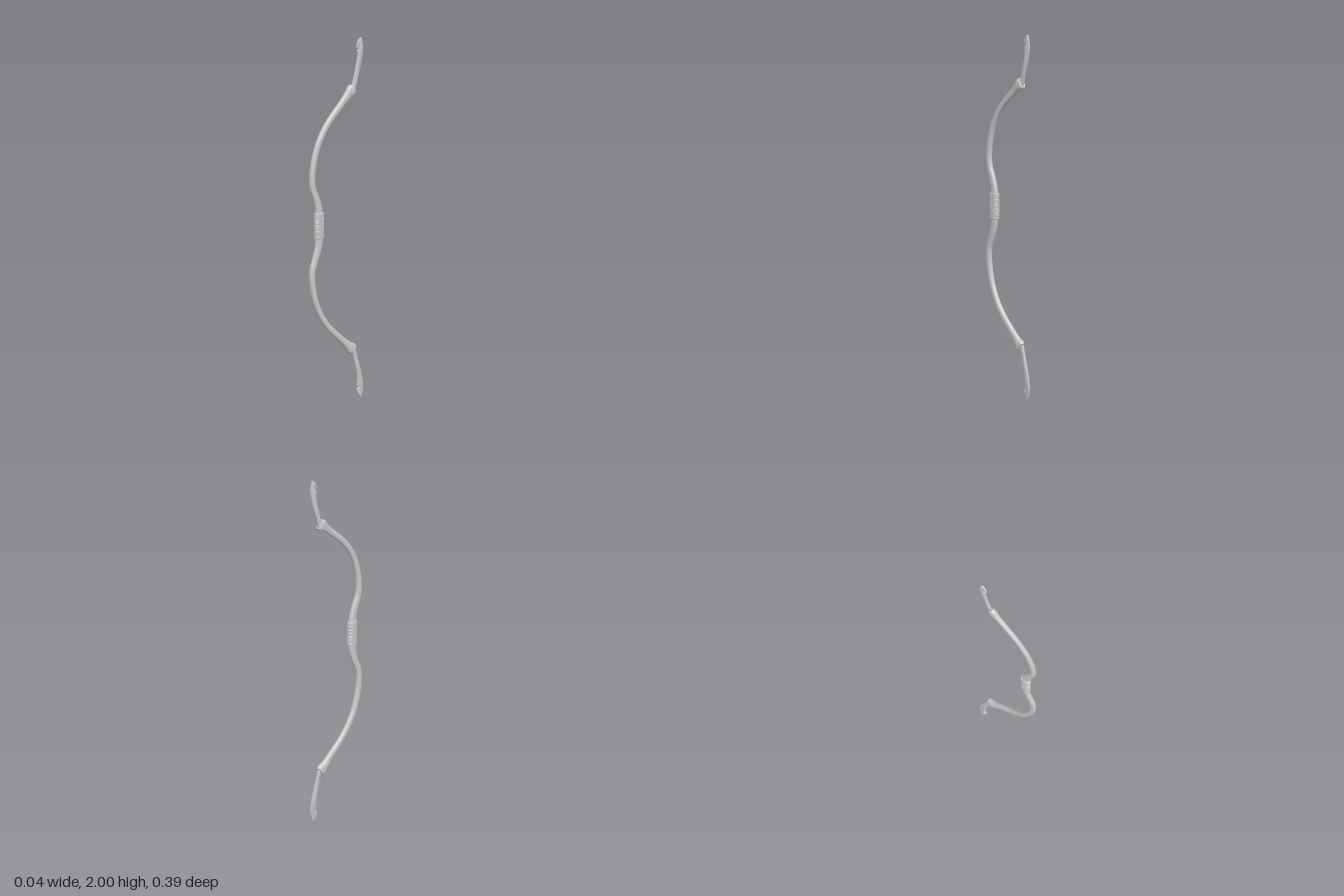
import * as THREE from 'three';
import { toCreasedNormals } from 'three/addons/utils/BufferGeometryUtils.js';

const material = new THREE.MeshStandardMaterial({ color: 0xcccccc });

// Upper half of the stave, from the grip outwards: z, y, half depth, half width
const HALF = [
  [0.125, 1.06, 0.024, 0.0135],
  [0.131, 1.11, 0.022, 0.0135],
  [0.151, 1.17, 0.02, 0.0135],
  [0.171, 1.22, 0.018, 0.0135],
  [0.177, 1.27, 0.017, 0.0135],
  [0.166, 1.36, 0.017, 0.0135],
  [0.139, 1.445, 0.017, 0.0135],
  [0.1, 1.515, 0.017, 0.0135],
  [0.05, 1.576, 0.017, 0.0135],
  [-0.01, 1.63, 0.018, 0.0135],
  [-0.062, 1.675, 0.02, 0.014],
  [-0.088, 1.699, 0.024, 0.0165],
  [-0.106, 1.714, 0.031, 0.0175],
  [-0.117, 1.721, 0.0315, 0.0175],
  [-0.125, 1.726, 0.0275, 0.017],
];

// Point on a rounded-rectangle outline of half sizes 1
function roundedSquare(angle, power) {
  const f = (v) => Math.sign(v) * Math.pow(Math.abs(v), 2 / power);
  return [f(Math.cos(angle)), f(Math.sin(angle))];
}

// Lofts rounded cross-sections along the stations, in the plane x = 0
function stave(stations, rings, sides) {
  const path = new THREE.CatmullRomCurve3(stations.map(([z, y]) => new THREE.Vector3(0, y, z)));
  const sizes = new THREE.CatmullRomCurve3(
    stations.map(([, , d, w], i) => new THREE.Vector3(w, d, i)), false, 'catmullrom', 0.5);
  const pos = [], index = [];
  const addRing = (t) => {
    const p = path.getPoint(t), tan = path.getTangent(t), size = sizes.getPoint(t);
    for (let j = 0; j < sides; j++) {
      const [a, b] = roundedSquare((j / sides) * Math.PI * 2, 2.8);
      pos.push(b * size.x, p.y - tan.z * a * size.y, p.z + tan.y * a * size.y);
    }
  };
  for (let i = 0; i <= rings; i++) {
    addRing(i / rings);
    for (let j = 0; i < rings && j < sides; j++) {
      const k = i * sides + j, n = i * sides + (j + 1) % sides;
      index.push(k, n, k + sides, n, n + sides, k + sides);
    }
  }
  // Flat end caps on rings of their own, so their edges stay sharp
  for (const t of [0, 1]) {
    const base = pos.length / 3;
    addRing(t);
    for (let j = 1; j < sides - 1; j++) {
      index.push(base, base + j + (t ? 0 : 1), base + j + (t ? 1 : 0));
    }
  }
  const g = new THREE.BufferGeometry();
  g.setAttribute('position', new THREE.Float32BufferAttribute(pos, 3));
  g.setIndex(index);
  g.computeVertexNormals();
  return g;
}

// Thin curved tip with a string notch; outline is drawn in z, y
function limbTip() {
  const v = (list) => list.map(([z, y]) => new THREE.Vector2(z, y));
  const s = new THREE.Shape();
  s.moveTo(-0.107, 1.71);
  s.splineThru(v([[-0.118, 1.745], [-0.131, 1.79], [-0.15, 1.86], [-0.156, 1.905], [-0.152, 1.932]]));
  s.splineThru(v([[-0.16, 1.934], [-0.164, 1.939], [-0.16, 1.944], [-0.15, 1.947]]));
  s.splineThru(v([[-0.153, 1.967], [-0.164, 1.985], [-0.181, 2.0]]));
  s.splineThru(v([[-0.19, 1.975], [-0.195, 1.94], [-0.191, 1.9], [-0.173, 1.83],
    [-0.151, 1.765], [-0.137, 1.71]]));
  s.closePath();
  const g = new THREE.ExtrudeGeometry(s, {
    depth: 0.006, curveSegments: 8, bevelEnabled: true, bevelSegments: 2,
    bevelThickness: 0.002, bevelSize: 0.002, bevelOffset: -0.002,
  });
  g.translate(0, 0, -0.003);
  g.rotateY(-Math.PI / 2);
  // Thicker towards the root
  const p = g.attributes.position;
  for (let i = 0; i < p.count; i++) {
    p.setX(i, p.getX(i) * (1 + 2 * Math.max(0, 1.9 - p.getY(i))));
  }
  return toCreasedNormals(g, 0.6);
}

// Cord wound around the handle; negative turns wind the other way
class Winding extends THREE.Curve {
  constructor(turns, y0, y1) {
    super();
    Object.assign(this, { turns, y0, y1 });
  }
  getPoint(t, target = new THREE.Vector3()) {
    const [a, b] = roundedSquare(t * this.turns * Math.PI * 2, 2.5);
    return target.set(b * 0.0145, this.y0 + (this.y1 - this.y0) * t, 0.125 + a * 0.0265);
  }
}

export function createModel() {
  const group = new THREE.Group();
  const add = (name, geometry) => {
    const mesh = new THREE.Mesh(geometry, material);
    mesh.name = name;
    group.add(mesh);
    return mesh;
  };

  // Full stave: the upper half and its mirror image
  const lower = HALF.map(([z, y, d, w]) => [z, 2 - y, d, w]).reverse();
  add('bowStave', stave([...lower, ...HALF], 145, 20));

  // Tips, the lower one turned upside down
  const tip = limbTip();
  add('upperTip', tip);
  const lowerTip = add('lowerTip', tip);
  lowerTip.rotation.z = Math.PI;
  lowerTip.position.y = 2;

  // Handle wrap: two cords wound in opposite directions
  for (const [name, turns] of [['gripCord', 20], ['gripCrossCord', -20]]) {
    add(name, new THREE.TubeGeometry(new Winding(turns, 0.94, 1.078), 800, 0.0046, 8, false));
  }
  return group;
}
